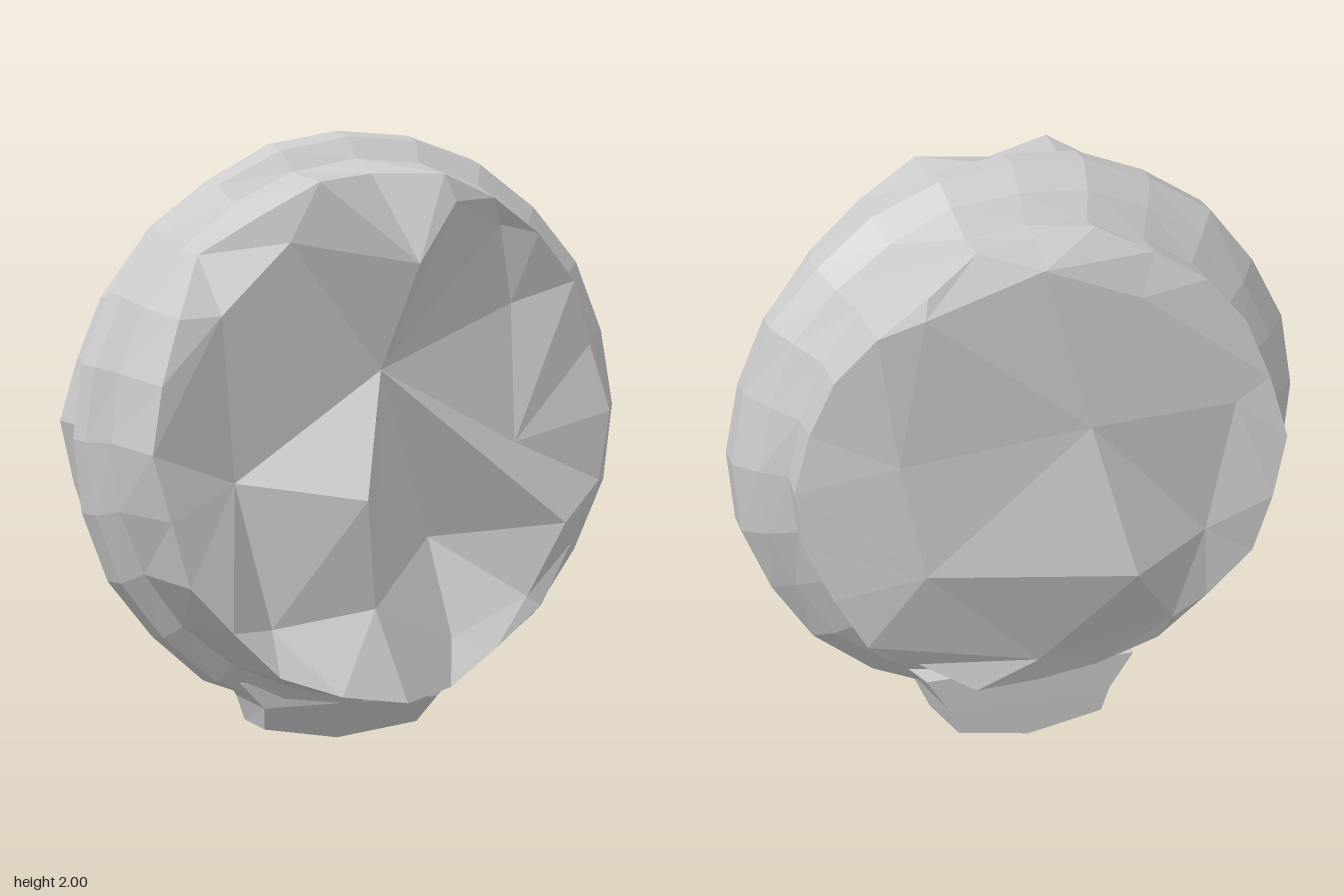
import * as THREE from 'three';

const SIDES = 24;
const CY = 1.048; // height of the disc's axis

const material = new THREE.MeshStandardMaterial({ color: 0xcccccc, flatShading: true });

function mesh(name, tris) {
  const geometry = new THREE.BufferGeometry();
  geometry.setAttribute('position', new THREE.Float32BufferAttribute(tris.flat(2), 3));
  geometry.computeVertexNormals();
  const m = new THREE.Mesh(geometry, material);
  m.name = name;
  return m;
}

// One loop around the z axis; z may be a number or one value per corner
function loop(r, z, rough = 0) {
  return Array.from({ length: SIDES }, (_, i) => {
    const a = (i / SIDES) * Math.PI * 2;
    const rr = r + rough * Math.sin(i * 2.7 + r * 9);
    const zz = Array.isArray(z) ? z[i] : z + rough * Math.sin(i * 1.9 + z * 20);
    return [rr * Math.cos(a), CY + rr * Math.sin(a), zz];
  });
}

// Side wall through loops ordered from front to back
function wall(loops) {
  const tris = [];
  for (let k = 0; k + 1 < loops.length; k++) {
    const f = loops[k], b = loops[k + 1];
    for (let i = 0; i < SIDES; i++) {
      const j = (i + 1) % SIDES;
      tris.push([f[i], b[i], b[j]], [f[i], b[j], f[j]]);
    }
  }
  return tris;
}

// Broken face: a fan of facets inside the ring, zipped by angle to the rim.
// Each ridge point replaces the hub for ring corners from..to.
function brokenFace(hub, ring, rim, flip, ridges) {
  const tris = [];
  const n = ring.length;
  for (let k = 0; k < n; k++) {
    const ridge = ridges.find((r) => k >= r.from && k < r.to);
    tris.push([ridge ? ridge.p : hub, ring[k], ring[(k + 1) % n]]);
  }
  for (const { p, from, to } of ridges) tris.push([hub, ring[from], p], [hub, p, ring[to]]);

  const turn = (p) => (Math.atan2(p[1] - CY, p[0]) + Math.PI * 2 + 1e-6) % (Math.PI * 2);
  const steps = [
    ...ring.map((p) => ({ p, inner: true, a: turn(p) })),
    ...rim.map((p) => ({ p, inner: false, a: turn(p) })),
  ].sort((s, t) => s.a - t.a);
  let inner = steps.filter((s) => s.inner).pop().p;
  let outer = steps.filter((s) => !s.inner).pop().p;
  for (const s of steps) {
    if (s.inner) {
      tris.push([inner, outer, s.p]);
      inner = s.p;
    } else {
      tris.push([outer, s.p, inner]);
      outer = s.p;
    }
  }
  return flip ? tris.map(([a, b, c]) => [a, c, b]) : tris;
}

export function createModel() {
  const group = new THREE.Group();
  group.name = 'brokenStoneDisc';

  // Ragged rims, depth per corner counter-clockwise from +x
  const frontRim = loop(0.862, [
    0.18, 0.15, 0.17, 0.21, 0.25, 0.3, 0.22, 0.31, 0.25, 0.2, 0.33, 0.38,
    0.4, 0.43, 0.45, 0.44, 0.45, 0.47, 0.5, 0.35, 0.28, 0.2, 0.19, 0.17,
  ], 0.016);
  const backRim = loop(0.815, [
    -0.31, -0.32, -0.36, -0.42, -0.41, -0.34, -0.29, -0.27, -0.31, -0.33, -0.34, -0.37,
    -0.4, -0.41, -0.37, -0.34, -0.32, -0.29, -0.31, -0.34, -0.3, -0.34, -0.33, -0.31,
  ], 0.014);

  // Drum with the raised band around its middle
  group.add(mesh('drumAndBand', wall([
    frontRim,
    loop(0.88, 0.1),
    loop(0.945, 0.045, 0.004),
    loop(0.952, -0.04, 0.006),
    loop(0.885, -0.12, 0.008),
    loop(0.803, -0.19, 0.006),
    backRim,
  ])));

  // Front facets
  const frontRing = [
    [0.54, 1.42, 0.14], [0.48, 1.69, 0.19], [0.26, 1.8, 0.32], [0.11, 1.61, 0.36],
    [-0.33, 1.7, 0.3], [-0.59, 1.48, 0.33], [-0.53, 0.92, 0.3], [-0.4, 0.43, 0.31],
    [-0.07, 0.49, 0.4], [0.28, 0.35, 0.24], [0.57, 0.46, 0.2], [0.69, 0.7, 0.24],
    [0.53, 0.97, 0.19],
  ];
  group.add(mesh('frontFace', brokenFace([0.02, 1.25, 0.25], frontRing, frontRim, false, [
    { p: [-0.13, 0.86, 0.47], from: 6, to: 8 },
    { p: [0.27, 0.66, 0.08], from: 8, to: 11 },
  ])));

  // Back facets
  const backRing = [
    [0.5, 1.14, -0.41], [0.42, 1.68, -0.44], [0, 1.78, -0.4], [-0.34, 1.62, -0.38],
    [-0.66, 1.19, -0.38], [-0.56, 0.73, -0.36], [-0.45, 0.42, -0.35], [0, 0.33, -0.34],
    [0.41, 0.73, -0.42],
  ];
  group.add(mesh('backFace', brokenFace([-0.15, 1.2, -0.43], backRing, backRim, true, [
    { p: [-0.28, 0.68, -0.52], from: 5, to: 8 },
  ])));

  // Foot under the band, sloping forward to meet it and narrowing at the back
  const outline = [[-0.4, 0.22], [-0.31, 0.13], [-0.28, 0.05], [0, 0], [0.27, 0.04], [0.31, 0.13], [0.4, 0.22]];
  const footShape = new THREE.Shape(outline.map(([x, y]) => new THREE.Vector2(x, y)));
  const footGeometry = new THREE.ExtrudeGeometry(footShape, { depth: 1, bevelEnabled: false });
  const pos = footGeometry.attributes.position;
  for (let i = 0; i < pos.count; i++) {
    const y = pos.getY(i);
    if (pos.getZ(i) > 0.5) {
      pos.setZ(i, Math.min(-0.04 + y * 0.8, 0.07));
    } else {
      pos.setX(i, pos.getX(i) * 0.88);
      pos.setZ(i, -0.22 - y * 0.08);
      if (y > 0.2) pos.setY(i, 0.25);
    }
  }
  footGeometry.computeVertexNormals();
  const foot = new THREE.Mesh(footGeometry, material);
  foot.name = 'foot';
  group.add(foot);

  return group;
}
